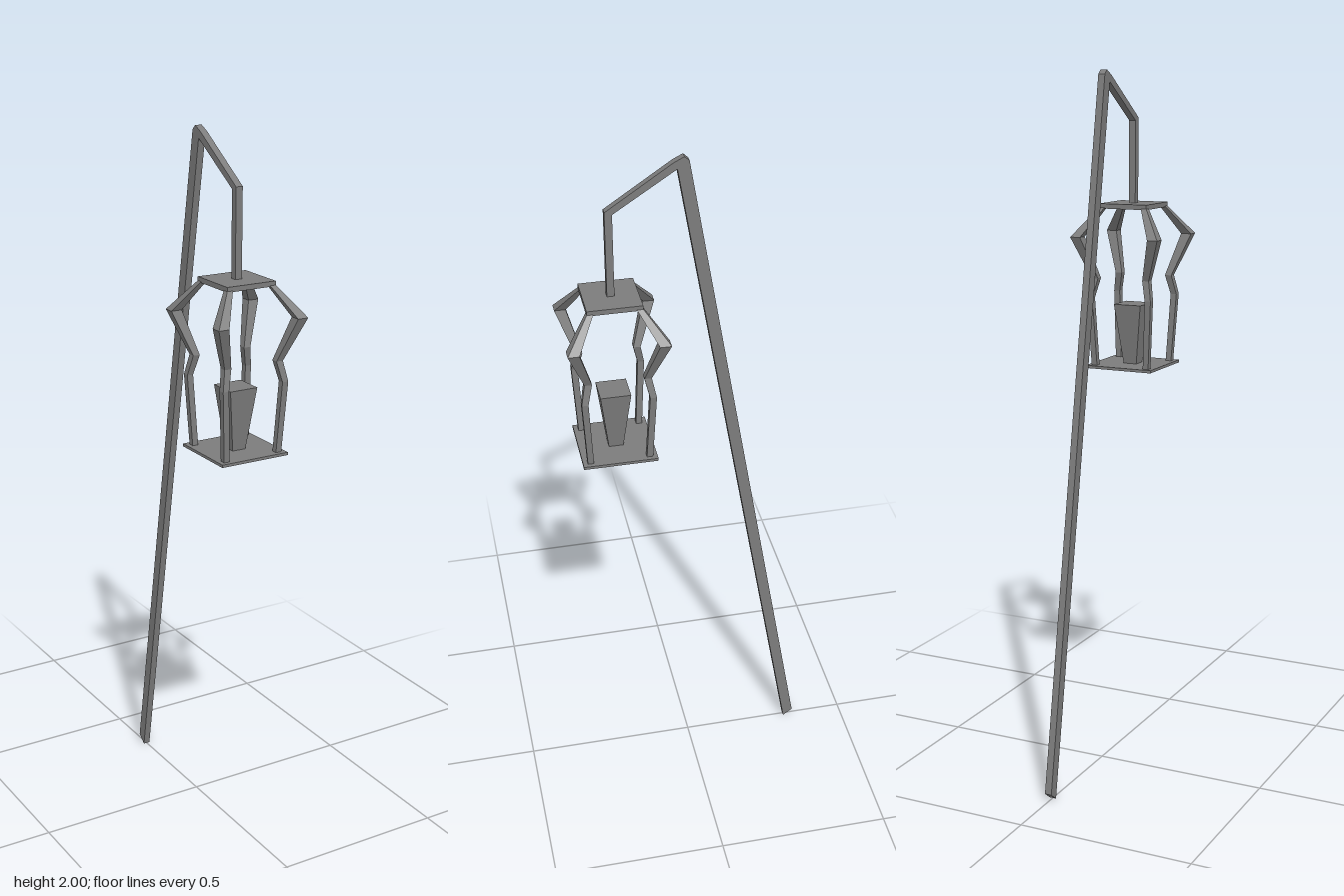
import * as THREE from 'three';

const material = new THREE.MeshStandardMaterial({ color: 0x7c7c7c, flatShading: true });

function add(parent, name, geometry) {
  const mesh = new THREE.Mesh(geometry, material);
  mesh.name = name;
  parent.add(mesh);
  return mesh;
}

// Square column through levels [y, inner, outer], offset along a diagonal given by sx, sz
function squareLoft(levels, sx = 0, sz = 0) {
  const n = levels.length - 1;
  const box = new THREE.BoxGeometry(1, 1, 1, 1, n, 1);
  const p = box.attributes.position;
  for (let i = 0; i < p.count; i++) {
    const [y, inner, outer] = levels[Math.round((p.getY(i) + 0.5) * n)];
    const centre = (inner + outer) / 2;
    const width = outer - inner;
    p.setXYZ(i, sx * centre + p.getX(i) * width, y, sz * centre + p.getZ(i) * width);
  }
  const geometry = box.toNonIndexed();
  geometry.computeVertexNormals();
  return geometry;
}

export function createModel() {
  const model = new THREE.Group();
  model.name = 'hangingLantern';

  // Leaning pole, sloping arm and vertical hanger as one side profile (z, y)
  const profile = [
    [-0.315, 0], [-0.343, 0.022], [-0.003, 1.988], [0.01, 2], [0.038, 1.986],
    [0.216, 1.868], [0.216, 1.62], [0.196, 1.62], [0.196, 1.86], [0.028, 1.968],
  ].map(([z, y]) => new THREE.Vector2(z, y));
  const pole = new THREE.ExtrudeGeometry(new THREE.Shape(profile), { depth: 0.02, bevelEnabled: false });
  pole.translate(0, 0, -0.01).rotateY(-Math.PI / 2);
  add(model, 'pole', pole);

  // Lantern
  const lantern = new THREE.Group();
  lantern.name = 'lantern';
  lantern.position.z = 0.206;
  model.add(lantern);

  add(lantern, 'topPlate', new THREE.BoxGeometry(0.148, 0.014, 0.148)).position.y = 1.62;
  add(lantern, 'basePlate', new THREE.BoxGeometry(0.206, 0.008, 0.206)).position.y = 1.156;

  // Tapered candle holder
  add(lantern, 'candle', squareLoft([[1.158, -0.02, 0.02], [1.335, -0.042, 0.042]]));

  // Four bent corner struts, bottom to top
  const strut = [
    [1.158, 0.073, 0.09], [1.358, 0.083, 0.101], [1.414, 0.07, 0.09],
    [1.534, 0.105, 0.136], [1.616, 0.057, 0.074],
  ];
  for (const sx of [-1, 1]) {
    for (const sz of [-1, 1]) {
      add(lantern, `${sz > 0 ? 'front' : 'back'}${sx > 0 ? 'Left' : 'Right'}Strut`, squareLoft(strut, sx, sz));
    }
  }
  return model;
}
